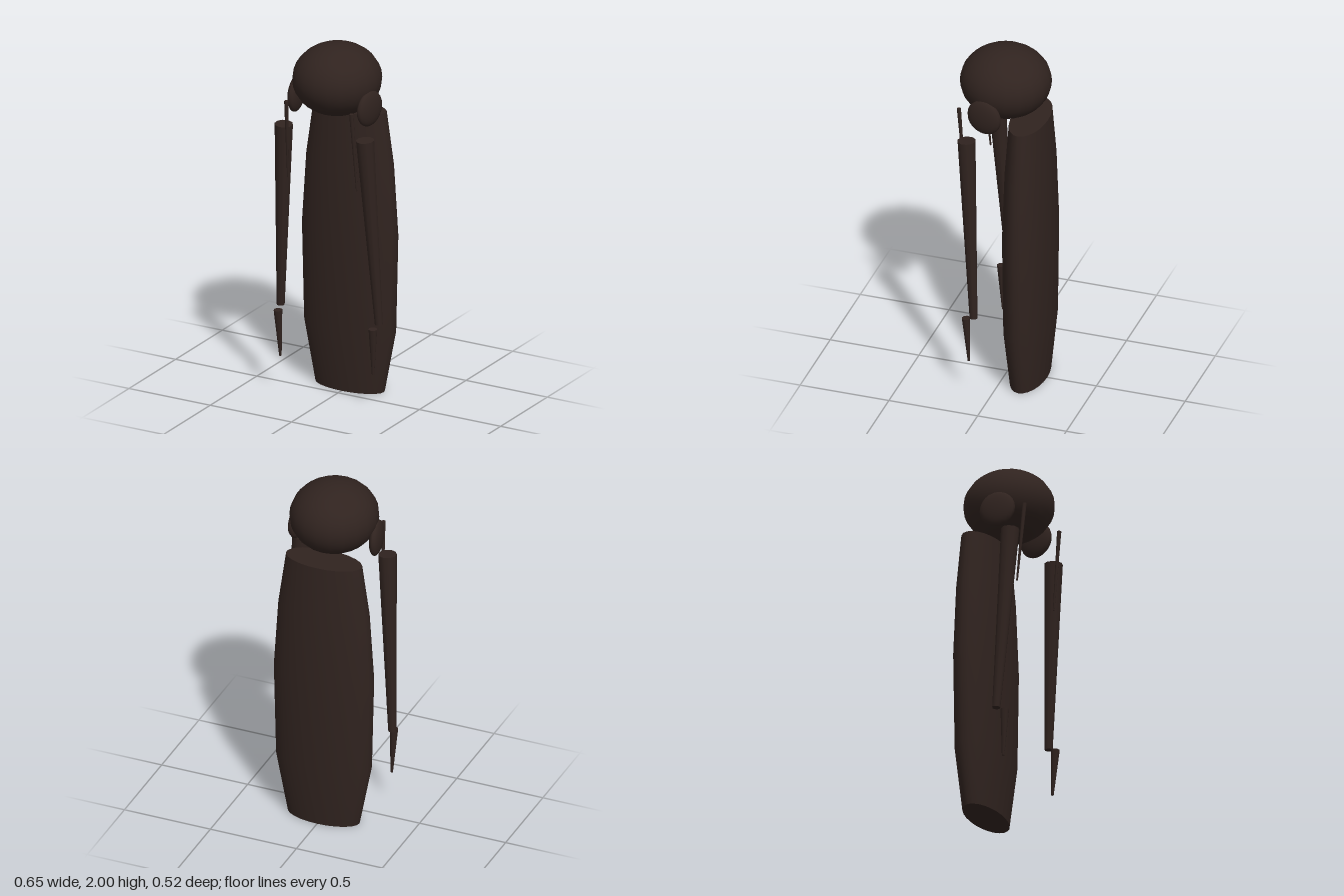
import * as THREE from 'three';

const material = new THREE.MeshStandardMaterial({ color: 0x30231f });

function addMesh(parent, name, geometry) {
  const mesh = new THREE.Mesh(geometry, material);
  mesh.name = name;
  parent.add(mesh);
  return mesh;
}

// Tapered round lock running from one point to another
function addLock(parent, name, top, bottom, rTop, rBottom, sides) {
  const a = new THREE.Vector3(...top), b = new THREE.Vector3(...bottom);
  const mesh = addMesh(parent, name, new THREE.CylinderGeometry(rTop, rBottom, a.distanceTo(b), sides));
  mesh.position.copy(a).add(b).multiplyScalar(0.5);
  mesh.quaternion.setFromUnitVectors(new THREE.Vector3(0, 1, 0), a.sub(b).normalize());
  return mesh;
}

export function createModel() {
  const group = new THREE.Group();
  group.name = 'longHair';

  // Rounded cap of hair
  const cap = addMesh(group, 'hairCap', new THREE.SphereGeometry(1, 20, 16));
  cap.scale.set(0.24, 0.197, 0.247);
  cap.position.set(0, 1.803, 0.01);

  // Long flattened back hair, closed at both ends
  const profile = [[0, 0], [0.72, 0], [0.955, 0.35], [1, 0.9], [0.91, 1.3], [0.76, 1.6], [0, 1.6]]
    .map(([r, y]) => new THREE.Vector2(r, y));
  const side = addMesh(group, 'backHair', new THREE.LatheGeometry(profile.slice(1, -1), 24));
  side.scale.set(0.287, 1, 0.13);
  side.position.z = -0.129;
  for (const [name, r, y, turn] of [['backHairTop', 0.76, 1.6, -1], ['backHairEnd', 0.72, 0, 1]]) {
    const end = addMesh(group, name, new THREE.CircleGeometry(1, 24).rotateX(turn * Math.PI / 2));
    end.scale.set(0.287 * r, 1, 0.13 * r);
    end.position.set(0, y, -0.129);
  }

  for (const [label, s] of [['left', 1], ['right', -1]]) {
    // Flat tuft over the ear
    const tuft = addMesh(group, label + 'EarTuft', new THREE.SphereGeometry(1, 16, 12));
    tuft.scale.set(0.034, 0.099, 0.1);
    tuft.position.set(s * 0.225, 1.688, 0.056);
    tuft.rotation.y = -s * 0.15;

    // Front lock, its separate tip and a thin strand beside the face
    addLock(group, label + 'FrontLock', [s * 0.25, 1.54, 0.147], [s * 0.302, 0.48, 0.09], 0.05, 0.022, 10);
    addLock(group, label + 'LockTip', [s * 0.292, 0.465, 0.136], [s * 0.285, 0.2, 0.122], 0.024, 0.007, 8);
    addLock(group, label + 'ThinStrand', [s * 0.2, 1.7, 0.207], [s * 0.212, 1.25, 0.168], 0.012, 0.005, 8);
  }
  return group;
}
